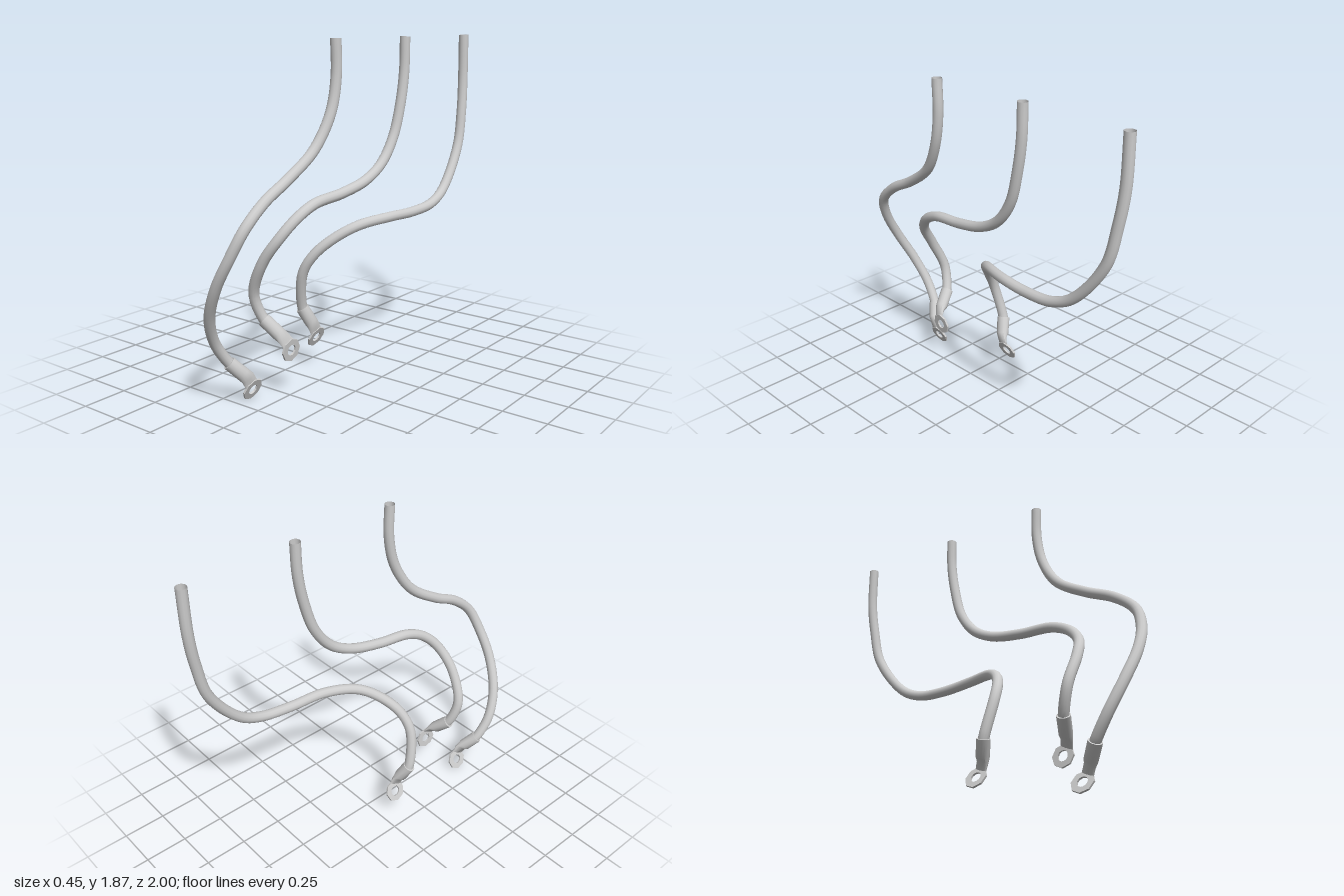
import * as THREE from 'three';
import { toCreasedNormals } from 'three/addons/utils/BufferGeometryUtils.js';

const V = (p) => new THREE.Vector3(...p);
const R = 0.029;
const solid = new THREE.MeshStandardMaterial({ color: 0xcccccc });
const open = new THREE.MeshStandardMaterial({ color: 0xcccccc, side: THREE.DoubleSide });

// Skin over elliptical sections, closed at both ends; section = [centre, wide axis, thin axis]
function loft(sections, n = 14) {
  const pos = [], idx = [];
  for (const [c, a, b] of sections) {
    for (let i = 0; i < n; i++) {
      const t = (i / n) * Math.PI * 2;
      const p = c.clone().addScaledVector(a, Math.cos(t)).addScaledVector(b, Math.sin(t));
      pos.push(p.x, p.y, p.z);
    }
  }
  const last = sections.length - 1;
  for (let s = 0; s < last; s++) {
    for (let i = 0; i < n; i++) {
      const j = (i + 1) % n, p = s * n, q = p + n;
      idx.push(p + i, p + j, q + j, p + i, q + j, q + i);
    }
  }
  for (let i = 1; i < n - 1; i++) {
    idx.push(0, i + 1, i, last * n, last * n + i, last * n + i + 1);
  }
  const g = new THREE.BufferGeometry();
  g.setAttribute('position', new THREE.Float32BufferAttribute(pos, 3));
  g.setIndex(idx);
  return toCreasedNormals(g, 0.7);
}

// Flat octagonal eyelet
function eyeletGeometry() {
  const polygon = (r, n, cls) => new cls(Array.from({ length: n }, (_, i) => {
    const t = ((i + 0.5) / n) * Math.PI * 2;
    return new THREE.Vector2(r * Math.cos(t), r * Math.sin(t));
  }));
  const shape = polygon(0.064, 8, THREE.Shape);
  shape.holes.push(polygon(0.03, 12, THREE.Path));
  const g = new THREE.ExtrudeGeometry(shape, { depth: 0.011, bevelEnabled: false });
  return g.translate(0, 0, -0.0055);
}

// path runs from the top to the barrel; end is the barrel's lower end
function buildCable({ name, path, end, ring, normal }) {
  const group = new THREE.Group();
  group.name = name;
  const add = (geo, part, mat) => {
    const m = new THREE.Mesh(geo, mat);
    m.name = part;
    group.add(m);
    return m;
  };

  const start = V(path[path.length - 1]), tip = V(end), centre = V(ring), n = V(normal).normalize();
  const dir = tip.clone().sub(start).normalize();

  // Bent cable, open at the top and running a little way into the barrel
  const pts = [...path.map(V), start.clone().addScaledVector(dir, 0.03)];
  const curve = new THREE.CatmullRomCurve3(pts, false, 'centripetal');
  add(new THREE.TubeGeometry(curve, 72, R, 12), 'cable', open);

  // In-plane axes of the eyelet
  const up = tip.clone().sub(centre);
  up.addScaledVector(n, -up.dot(n)).normalize();
  const side = up.clone().cross(n);

  // Crimp barrel, pressed flat towards the eyelet
  const section = (c, d, wide, thin) => {
    const w = n.clone().cross(d).normalize();
    const t = d.clone().cross(w).normalize();
    return [c, w.multiplyScalar(wide), t.multiplyScalar(thin)];
  };
  const down = up.clone().negate();
  const bend = dir.clone().add(down).normalize();
  add(loft([
    section(start.clone().addScaledVector(dir, -0.005), dir, 0.037, 0.037),
    section(start.clone().lerp(tip, 0.75), dir, 0.038, 0.035),
    section(tip, bend, 0.039, 0.02),
    section(centre.clone().addScaledVector(up, 0.042), down, 0.04, 0.006),
  ]), 'crimpBarrel', solid);

  const eyelet = add(eyeletGeometry(), 'eyelet', solid);
  eyelet.position.copy(centre);
  eyelet.quaternion.setFromRotationMatrix(new THREE.Matrix4().makeBasis(side, up, n));
  return group;
}

export function createModel() {
  const model = new THREE.Group();
  model.name = 'cableSet';
  model.add(buildCable({
    name: 'frontCable',
    path: [[.16, 1.87, .3], [.16, 1.68, .298], [.153, 1.5, .335], [.128, 1.32, .44], [.108, 1.19, .625],
      [.105, 1.105, .79], [.09, .995, .912], [.035, .855, .962], [-.055, .69, .972],
      [-.147, .505, .93], [-.188, .345, .855], [-.172, .22, .772]],
    end: [-.11, .135, .705], ring: [-.115, .06, .667], normal: [.92, -.38, 0],
  }));
  model.add(buildCable({
    name: 'middleCable',
    path: [[.16, 1.87, -.325], [.16, 1.68, -.32], [.157, 1.5, -.29], [.148, 1.32, -.235], [.14, 1.185, -.137],
      [.13, 1.105, 0], [.115, 1.06, .195], [.1, 1.035, .405], [.08, .977, .523], [.032, .88, .605],
      [-.055, .745, .638], [-.135, .56, .619], [-.105, .415, .574]],
    end: [-.01, .325, .533], ring: [.01, .255, .499], normal: [.99, -.1, .04],
  }));
  model.add(buildCable({
    name: 'backCable',
    path: [[.16, 1.87, -.97], [.163, 1.6, -.968], [.172, 1.415, -.945], [.18, 1.2, -.893],
      [.192, .965, -.715], [.195, .895, -.58], [.183, .872, -.395], [.157, .872, -.18], [.085, .848, 0],
      [0, .785, .105], [-.09, .69, .178], [-.155, .575, .2], [-.193, .352, .157]],
    end: [-.145, .25, .118], ring: [-.155, .175, .086], normal: [.91, -.4, 0],
  }));
  return model;
}
